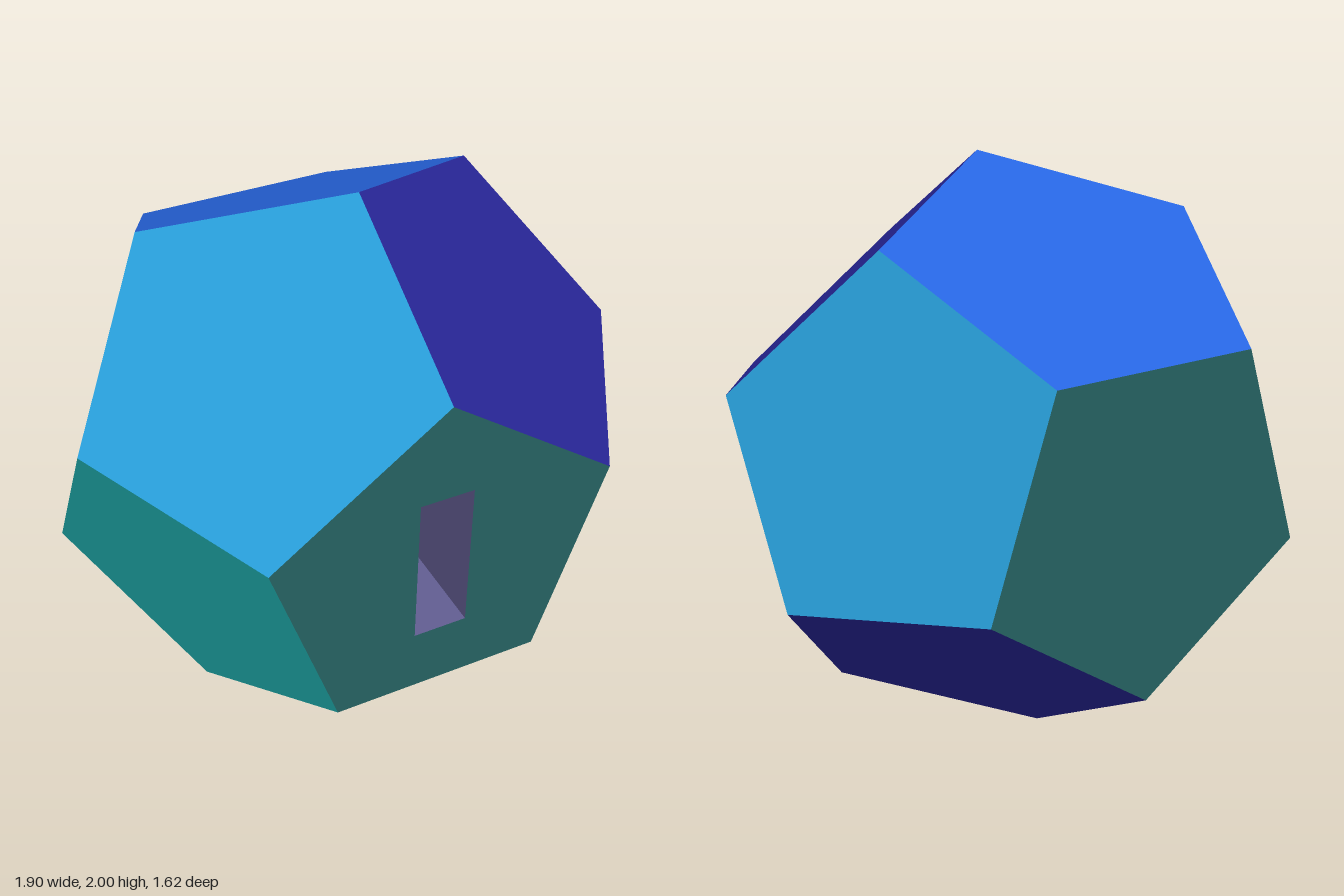
import * as THREE from 'three';

const mat = (name, color) => new THREE.MeshStandardMaterial({ name, color });

export function createModel() {
  const blue = mat('sky blue', 0x289fda);
  const navy = mat('navy', 0x272596);
  const royal = mat('royal blue', 0x2765e0);
  const teal = mat('teal', 0x20b0b0);
  const green = mat('dark green', 0x256161);
  const purple = mat('grey purple', 0x625d92);

  const group = new THREE.Group();
  group.name = 'dodecahedronBox';
  const add = (name, geometry, material) => {
    const mesh = new THREE.Mesh(geometry, material);
    mesh.name = name;
    group.add(mesh);
    return mesh;
  };

  // Four rings of five corners, from front to back
  const ring = (radius, z, start) => Array.from({ length: 5 }, (_, k) => {
    const a = THREE.MathUtils.degToRad(start + 72 * k);
    return new THREE.Vector3(radius * Math.cos(a), 1 + radius * Math.sin(a), z);
  });
  const front = ring(0.618, 0.809, 90);
  const frontOuter = ring(1, 0.191, 90);
  const backOuter = ring(1, -0.191, 126);
  const back = ring(0.618, -0.809, 126);

  // Flat pentagon from five corners, counter-clockwise from outside
  const pentagon = (p) => {
    const g = new THREE.BufferGeometry().setFromPoints(
      [p[0], p[1], p[2], p[0], p[2], p[3], p[0], p[3], p[4]]);
    g.computeVertexNormals();
    return g;
  };

  // Side faces around the front and the back
  const frontColours = [blue, teal, blue, teal, navy];
  const backColours = [navy, royal, navy, blue, royal];
  for (let k = 0; k < 5; k++) {
    const n = (k + 1) % 5;
    add(`frontSideFace${k + 1}`,
      pentagon([front[k], frontOuter[k], backOuter[k], frontOuter[n], front[n]]), frontColours[k]);
    add(`backSideFace${k + 1}`,
      pentagon([back[n], backOuter[n], frontOuter[n], backOuter[k], back[k]]), backColours[k]);
  }
  add('backFace', pentagon([...back].reverse()), green);

  // Front face with the slot opening
  const w = 0.184, h = 0.544, depth = 0.4, cy = 1.003;
  const shape = new THREE.Shape(front.map((v) => new THREE.Vector2(v.x, v.y)));
  shape.holes.push(new THREE.Path([
    [-w / 2, cy - h / 2], [-w / 2, cy + h / 2], [w / 2, cy + h / 2], [w / 2, cy - h / 2],
  ].map(([x, y]) => new THREE.Vector2(x, y))));
  add('frontFace', new THREE.ShapeGeometry(shape), green).position.z = 0.809;

  // Slot walls facing inward, and the slot's end
  const zMid = 0.809 - depth / 2;
  for (const s of [-1, 1]) {
    const side = add(s < 0 ? 'slotRightWall' : 'slotLeftWall', new THREE.PlaneGeometry(depth, h), purple);
    side.position.set(s * w / 2, cy, zMid);
    side.rotation.y = -s * Math.PI / 2;
    const level = add(s < 0 ? 'slotBottom' : 'slotTop', new THREE.PlaneGeometry(w, depth), purple);
    level.position.set(0, cy + s * h / 2, zMid);
    level.rotation.x = s * Math.PI / 2;
  }
  add('slotEnd', new THREE.PlaneGeometry(w, h), blue).position.set(0, cy, 0.809 - depth);

  return group;
}
